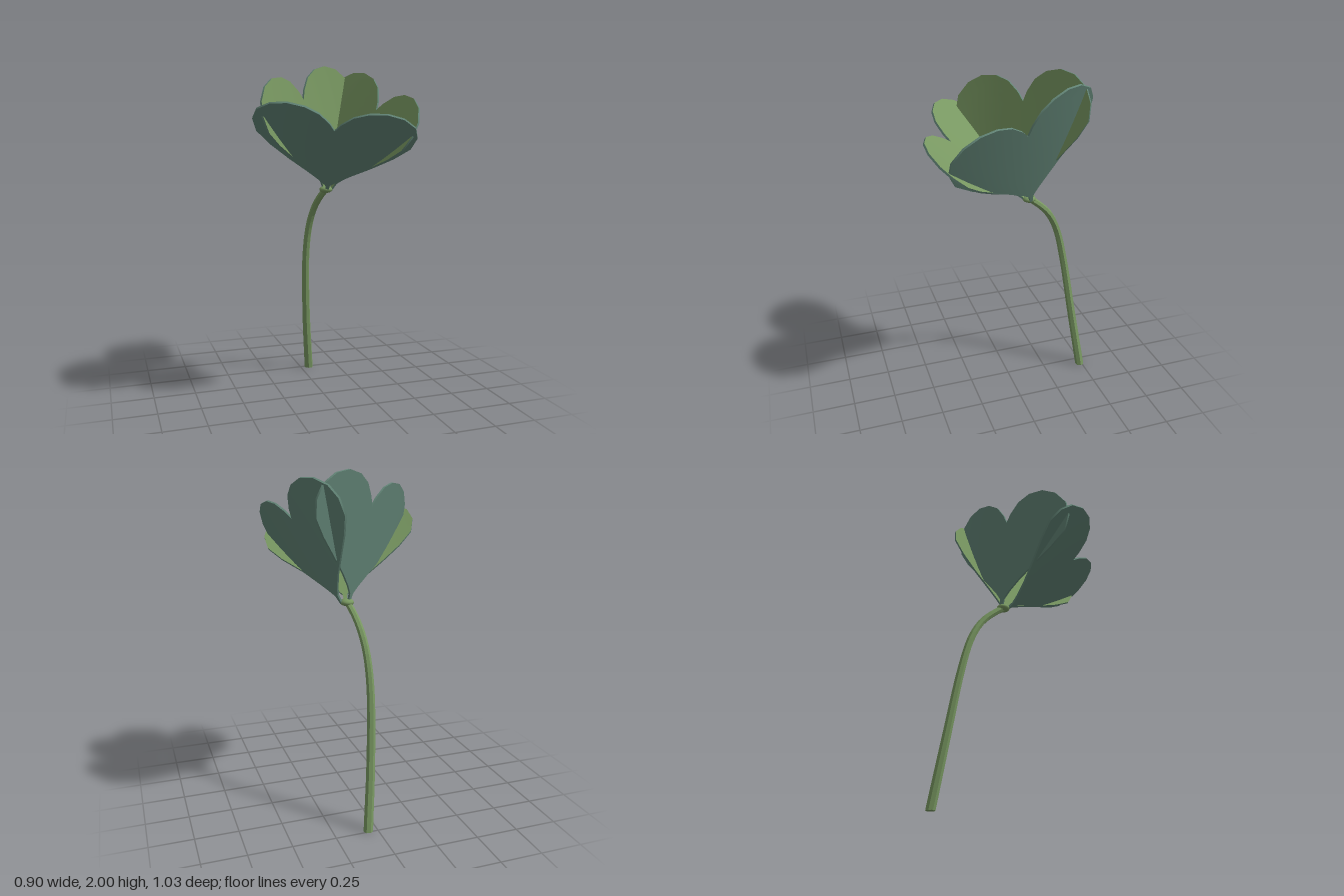
import * as THREE from 'three';

const green = new THREE.MeshStandardMaterial({ color: 0x789761 });
green.name = 'leafGreen';
const blueGreen = new THREE.MeshStandardMaterial({ color: 0x628476 });
blueGreen.name = 'undersideBlueGreen';

// Half of the heart outline, base to notch: [side, length, matching midrib length]
const HEART = [
  [0.008, -0.02, -0.02], [0.014, 0.03, 0.02], [0.05, 0.072, 0.04], [0.125, 0.14, 0.08],
  [0.24, 0.23, 0.13], [0.35, 0.32, 0.18], [0.432, 0.407, 0.23], [0.453, 0.5, 0.28],
  [0.43, 0.582, 0.34], [0.357, 0.653, 0.39], [0.265, 0.687, 0.43], [0.17, 0.682, 0.47],
  [0.09, 0.645, 0.5], [0.03, 0.58, 0.515], [0, 0.527, 0.527],
];
const ACROSS = 12;
const THICKNESS = 0.012;

// Surface through a grid of points; 'flip' turns its front round
function gridGeometry(rows, cols, point, flip) {
  const pos = [], index = [];
  for (let i = 0; i <= rows; i++) {
    for (let j = 0; j <= cols; j++) pos.push(...point(i, j).toArray());
  }
  for (let i = 0; i < rows; i++) {
    for (let j = 0; j < cols; j++) {
      const a = i * (cols + 1) + j, b = a + 1, c = a + cols + 1, d = c + 1;
      if (flip) index.push(a, b, c, b, d, c);
      else index.push(a, c, b, b, c, d);
    }
  }
  const geo = new THREE.BufferGeometry();
  geo.setAttribute('position', new THREE.Float32BufferAttribute(pos, 3));
  geo.setIndex(index);
  geo.computeVertexNormals();
  return geo;
}

// Thin cupped heart: green above, blue-green rim and underside
function leaflet(name, base, along, side) {
  const T = new THREE.Vector3(...along).normalize();
  const S = new THREE.Vector3(...side);
  S.addScaledVector(T, -S.dot(T)).normalize();
  const N = new THREE.Vector3().crossVectors(T, S);
  const point = (i, u, depth) => {
    const [w, l, mid] = HEART[i];
    const s = w * u;
    return new THREE.Vector3(...base)
      .addScaledVector(S, s)
      .addScaledVector(T, THREE.MathUtils.lerp(mid, l, Math.abs(u)))
      .addScaledVector(N, 0.22 * s * s - depth);
  };
  const rows = HEART.length - 1;
  const across = (j) => (j / ACROSS) * 2 - 1;
  const group = new THREE.Group();
  group.name = name;
  const add = (part, geo, material) => {
    const mesh = new THREE.Mesh(geo, material);
    mesh.name = name + part;
    group.add(mesh);
  };
  add('Top', gridGeometry(rows, ACROSS, (i, j) => point(i, across(j), 0), false), green);
  add('Underside', gridGeometry(rows, ACROSS, (i, j) => point(i, across(j), THICKNESS), true), blueGreen);
  for (const u of [1, -1]) {
    add('Rim', gridGeometry(rows, 1, (i, j) => point(i, u, j * THICKNESS), u < 0), blueGreen);
  }
  return group;
}

// Curved, faceted stem, thinner towards the top
function stem() {
  const group = new THREE.Group();
  group.name = 'stem';
  const curve = new THREE.CatmullRomCurve3([
    [0.055, 0, -0.487], [0.02, 0.4, -0.425], [0, 0.8, -0.36], [0.006, 1.0, -0.31],
    [0.02, 1.12, -0.25], [0.035, 1.2, -0.175], [0.05, 1.25, -0.11],
  ].map((p) => new THREE.Vector3(...p)));
  const rings = 28, sides = 7;
  const tube = new THREE.TubeGeometry(curve, rings, 0.028, sides, false);
  const pos = tube.attributes.position;
  const v = new THREE.Vector3();
  for (let k = 0; k < pos.count; k++) {
    const i = Math.floor(k / (sides + 1));
    const centre = curve.getPointAt(i / rings);
    v.fromBufferAttribute(pos, k).sub(centre).multiplyScalar(1 - 0.3 * (i / rings)).add(centre);
    if (i === 0) v.y = 0;
    pos.setXYZ(k, v.x, v.y, v.z);
  }
  const faceted = tube.toNonIndexed();
  faceted.computeVertexNormals();
  const stalk = new THREE.Mesh(faceted, green);
  stalk.name = 'stalk';
  const cut = new THREE.Mesh(new THREE.CircleGeometry(0.026, 14).rotateX(Math.PI / 2), green);
  cut.name = 'stalkEnd';
  cut.position.set(0.055, 0.001, -0.487);
  group.add(stalk, cut);
  return group;
}

export function createModel() {
  const model = new THREE.Group();
  model.name = 'threeLeafSprig';
  model.add(stem());

  // Knob where the leaflets meet
  const knob = new THREE.Mesh(new THREE.SphereGeometry(0.04, 14, 10), green);
  knob.name = 'knob';
  knob.scale.y = 0.55;
  knob.position.set(0.052, 1.252, -0.11);
  model.add(knob);

  // Leaflets: base, midrib direction, sideways direction
  model.add(leaflet('frontLeaflet', [0.05, 1.268, -0.075], [-0.17, 0.65, 0.74], [0.937, -0.12, 0.321]));
  model.add(leaflet('leftLeaflet', [0.088, 1.268, -0.105], [0.453, 0.868, 0.208], [-0.19, 0.32, -0.93]));
  model.add(leaflet('backLeaflet', [0.043, 1.275, -0.115], [-0.24, 0.97, 0], [-0.785, -0.195, 0.605]));
  return model;
}
